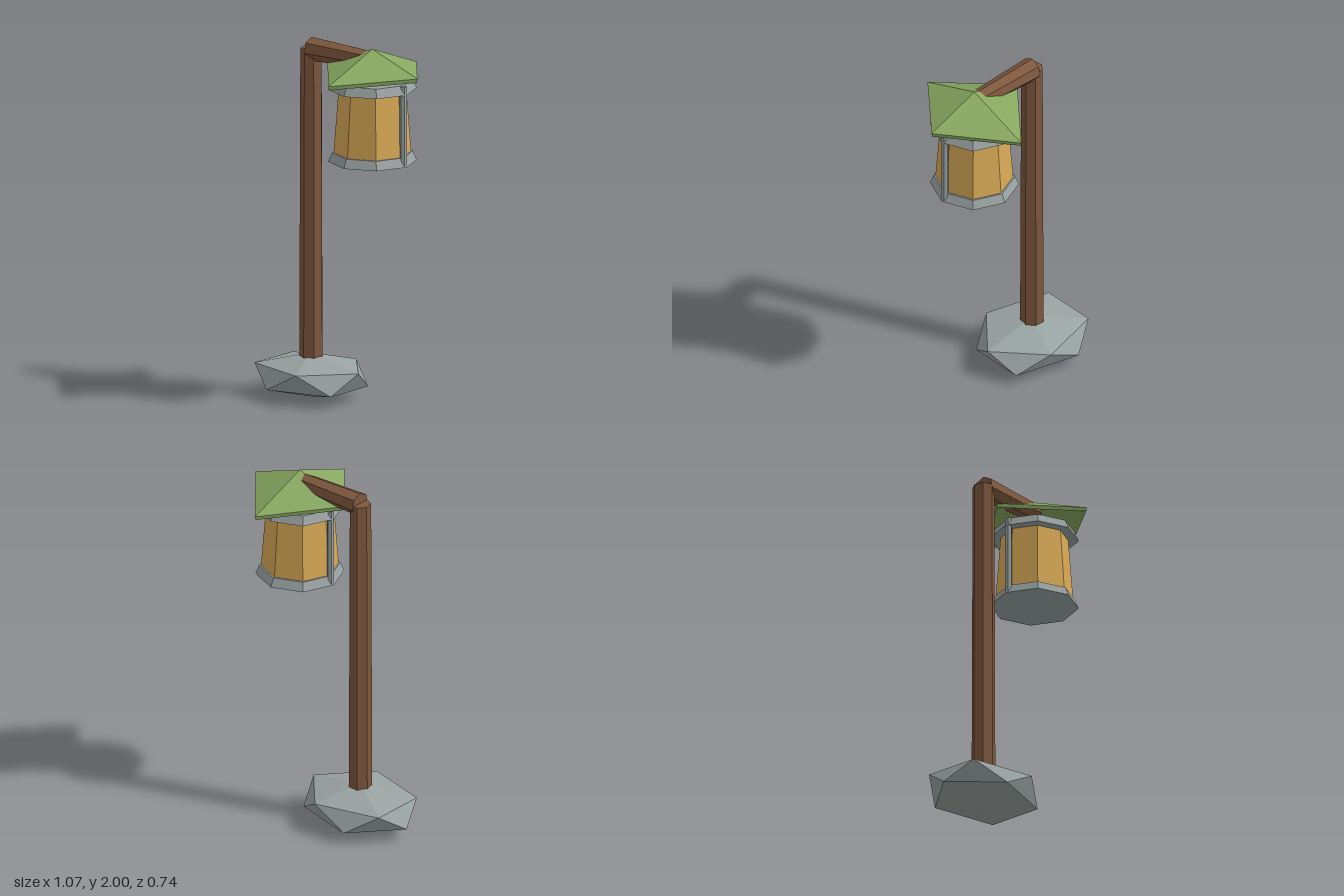
import * as THREE from 'three';

const mat = (name, color) => {
  const m = new THREE.MeshStandardMaterial({ color, flatShading: true });
  m.name = name;
  return m;
};

// Four-sided hollow roof: sloped top, thin rim and sloped underside
function roofGeometry() {
  const corner = (i, s, yx, yz) => {
    const a = (i * Math.PI) / 2;
    return [0.316 * s * Math.cos(a), i % 2 ? yz : yx, 0.37 * s * Math.sin(a)];
  };
  const apex = [0, 2, 0], inner = [0, 1.97, 0], pos = [];
  for (let i = 0; i < 4; i++) {
    const t0 = corner(i, 1, 1.883, 1.86), t1 = corner(i + 1, 1, 1.883, 1.86);
    const b0 = corner(i, 0.985, 1.86, 1.839), b1 = corner(i + 1, 0.985, 1.86, 1.839);
    // corner() alternates heights, so odd corners are the lower front and back ones
    pos.push(...apex, ...t1, ...t0, ...t0, ...t1, ...b1, ...t0, ...b1, ...b0, ...inner, ...b0, ...b1);
  }
  const g = new THREE.BufferGeometry();
  g.setAttribute('position', new THREE.Float32BufferAttribute(pos, 3));
  g.computeVertexNormals();
  return g;
}

export function createModel() {
  const model = new THREE.Group();
  model.name = 'lanternPost';
  const stone = mat('grey stone and metal', 0x99a3a2);
  const wood = mat('brown wood', 0x7f583e);
  const leaf = mat('green roof', 0x87a760);
  const glow = mat('amber glass', 0xd9a956);

  const add = (parent, name, geometry, material, x = 0, y = 0, z = 0) => {
    const m = new THREE.Mesh(geometry, material);
    m.name = name;
    m.position.set(x, y, z);
    parent.add(m);
    return m;
  };
  // Tapered prism between two heights
  const prism = (rTop, rBottom, y0, y1, sides) =>
    new THREE.CylinderGeometry(rTop, rBottom, y1 - y0, sides).translate(0, (y0 + y1) / 2, 0);

  // Foot stone: squashed icosahedron standing on a point
  const rock = new THREE.IcosahedronGeometry(1, 0);
  rock.rotateZ(-Math.atan(2 / (1 + Math.sqrt(5))));
  rock.scale(0.369, 0.122, 0.3);
  add(model, 'footStone', rock, stone, -0.208, 0.13 - 0.008);
  rock.translate(0, 0.005, 0);

  // Upright and arm: seven-sided beams
  add(model, 'upright', prism(0.06, 0.066, 0.1, 1.94, 7), wood, -0.207);
  const arm = new THREE.CylinderGeometry(0.051, 0.065, 0.43, 7);
  arm.rotateX(-Math.PI / 2).rotateY(-Math.PI / 2);
  add(model, 'arm', arm, wood, 0.008, 1.935);

  add(model, 'roof', roofGeometry(), leaf, 0.22);

  // Lantern: glass body, flared bands and two side bars
  const lantern = new THREE.Group();
  lantern.name = 'lantern';
  lantern.position.x = 0.22;
  model.add(lantern);
  add(lantern, 'glass', prism(0.181, 0.212, 1.4, 1.81, 8), glow);
  add(lantern, 'topBand', prism(0.217, 0.24, 1.78, 1.83, 8), stone);
  add(lantern, 'bottomBand', prism(0.219, 0.24, 1.38, 1.43, 8), stone);
  for (const side of [-1, 1])
    add(lantern, side < 0 ? 'rightBar' : 'leftBar', prism(0.02, 0.02, 1.385, 1.825, 6), stone, side * 0.217);

  return model;
}
